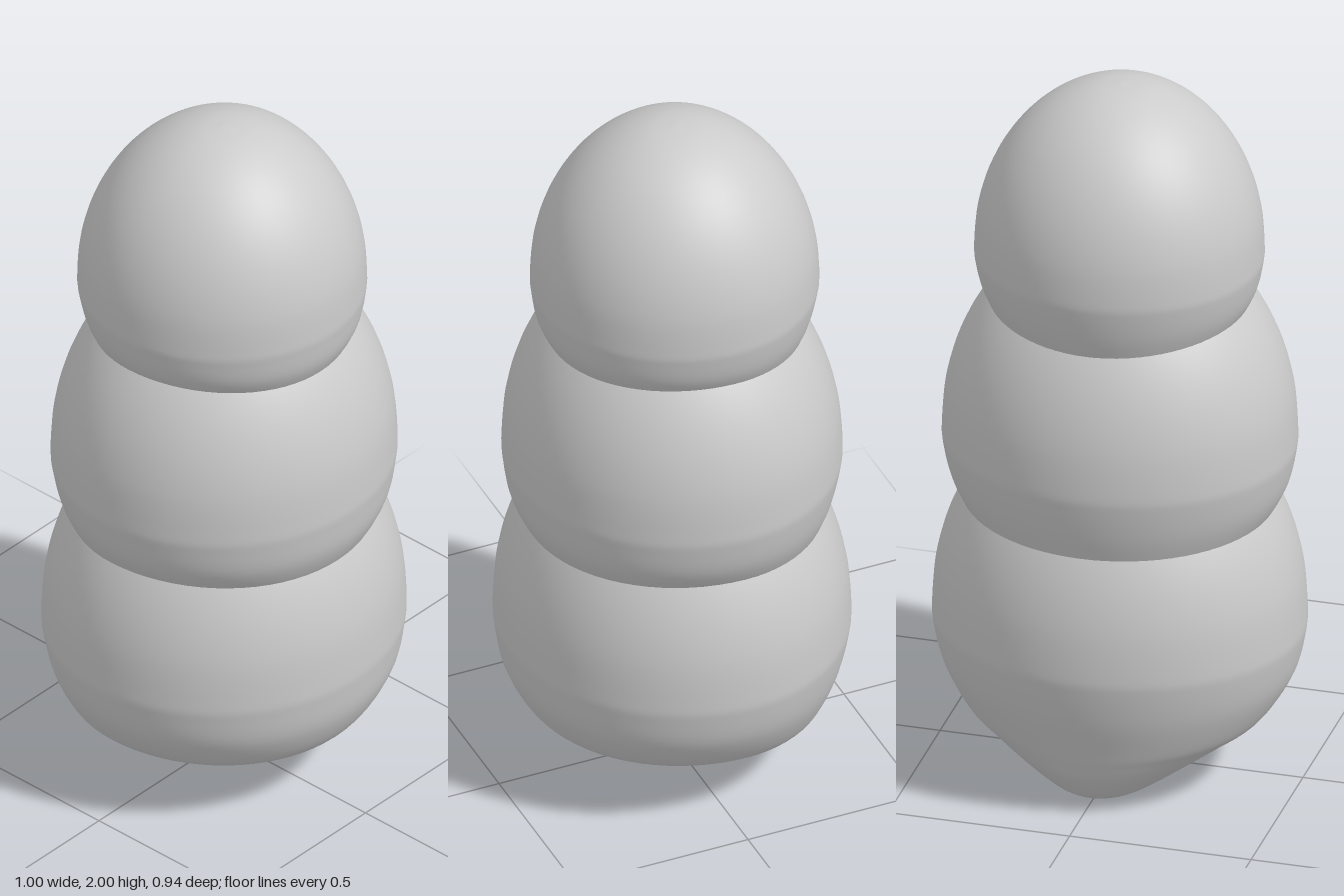
import * as THREE from 'three';
import { mergeVertices } from 'three/addons/utils/BufferGeometryUtils.js';

// Lower cross-sections: [height, half width, front z, back z, z of widest point]
const LOWER = [
  [0, 0, -0.22, -0.22, -0.22],
  [0.01, 0.075, -0.1, -0.285, -0.21],
  [0.035, 0.145, 0.04, -0.325, -0.18],
  [0.1, 0.255, 0.2, -0.372, -0.12],
  [0.155, 0.345, 0.32, -0.395, -0.07],
  [0.2, 0.41, 0.395, -0.41, -0.04],
  [0.3, 0.472, 0.45, -0.443, -0.02],
  [0.4, 0.497, 0.468, -0.465, -0.02],
];
const MID = 0.46, RISE = 0.61;

// One egg-shaped lobe: domed above, with a chin drawn down toward the back below
function lobeGeometry(rings = 96, sides = 72) {
  const stations = LOWER.slice();
  for (let i = 0; i <= 8; i++) {
    const a = (i / 8) * Math.PI / 2, c = i === 8 ? 0 : Math.cos(a);
    stations.push([MID + RISE * Math.sin(a), 0.5 * c, 0.47 * c, -0.47 * c, -0.02 * c]);
  }
  const outline = new THREE.CatmullRomCurve3(
    stations.map(s => new THREE.Vector3(s[1], s[0], 0)), false, 'catmullrom', 0.5);
  const depth = new THREE.CatmullRomCurve3(
    stations.map(s => new THREE.Vector3(s[2], s[3], s[4])), false, 'catmullrom', 0.5);

  const positions = [], index = [];
  for (let i = 0; i <= rings; i++) {
    const o = outline.getPoint(i / rings), d = depth.getPoint(i / rings);
    for (let j = 0; j < sides; j++) {
      const a = (j / sides) * Math.PI * 2, s = Math.sin(a);
      const reach = s > 0 ? d.x - d.z : d.z - d.y;
      positions.push(o.x * Math.cos(a), o.y, d.z + reach * s);
      if (i < rings) {
        const k = (j + 1) % sides, p = i * sides, q = p + sides;
        index.push(p + j, q + j, p + k, p + k, q + j, q + k);
      }
    }
  }
  const g = new THREE.BufferGeometry();
  g.setAttribute('position', new THREE.Float32BufferAttribute(positions, 3));
  g.setIndex(index);
  const welded = mergeVertices(g, 1e-5);
  welded.computeVertexNormals();
  return welded;
}

export function createModel() {
  const model = new THREE.Group();
  model.name = 'stackedLobes';
  const material = new THREE.MeshStandardMaterial({ color: 0xcccccc });
  const geometry = lobeGeometry();

  // Same lobe stacked three times, shrinking upward: [name, height of widest ring, sx, sy, sz, z]
  const lobes = [
    ['lowerLobe', 0.46, 1, 1, 1, 0],
    ['middleLobe', 0.99, 0.948, 0.95, 0.952, 0],
    ['upperLobe', 1.53, 0.77, 0.77, 0.815, -0.008],
  ];
  for (const [name, y, sx, sy, sz, z] of lobes) {
    const mesh = new THREE.Mesh(geometry, material);
    mesh.name = name;
    mesh.scale.set(sx, sy, sz);
    mesh.position.set(0, y - MID * sy, z);
    model.add(mesh);
  }
  return model;
}
